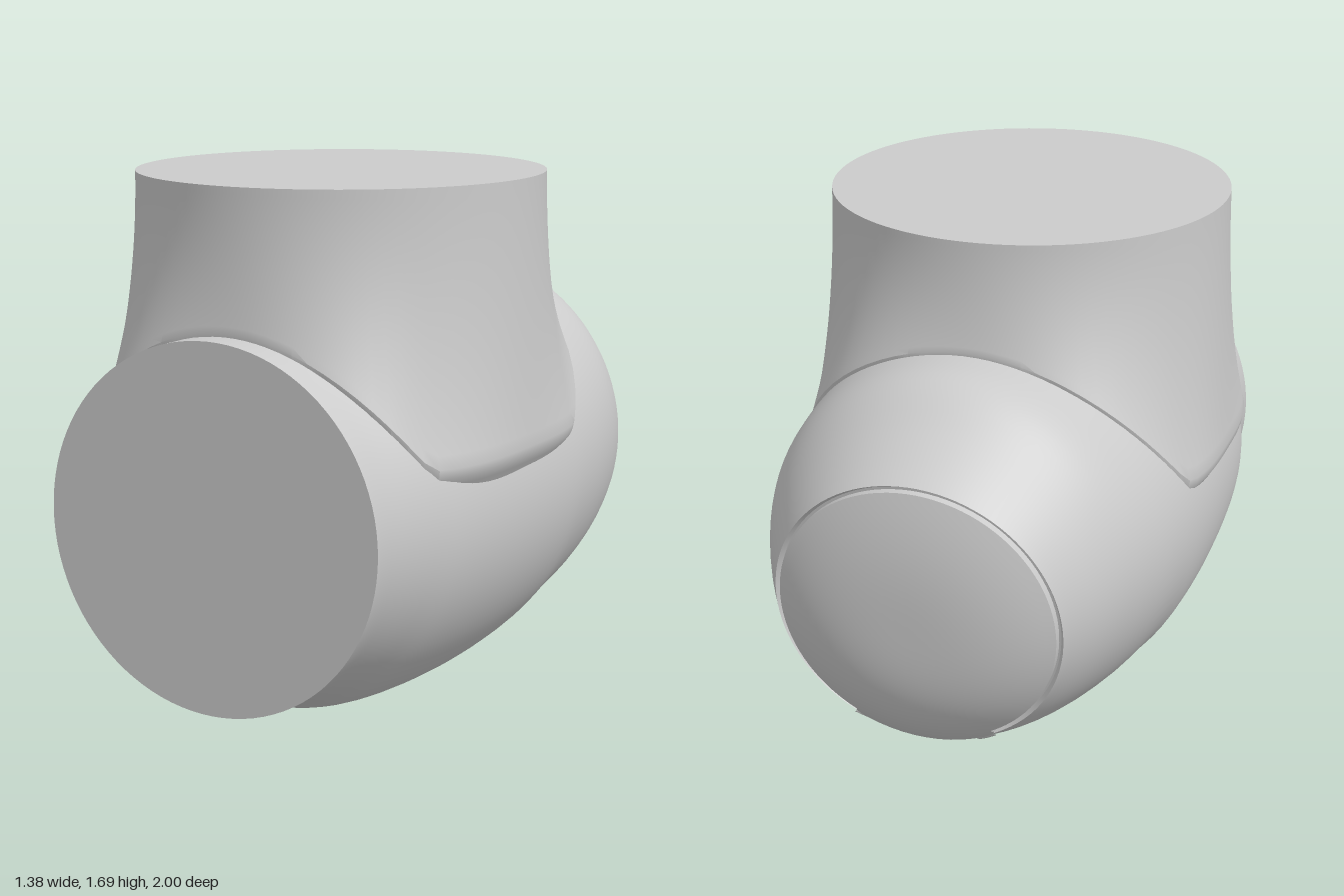
import * as THREE from 'three';
import { toCreasedNormals } from 'three/addons/utils/BufferGeometryUtils.js';

const V = (x, y, z) => new THREE.Vector3(x, y, z);
const SEG = 96;

// Skin a list of cross-sections; closed sections wrap around
function loft(rings, closed = true, crease = 0.5) {
  const n = rings[0].length, index = [];
  for (let i = 0; i < rings.length - 1; i++) {
    for (let j = 0; j < (closed ? n : n - 1); j++) {
      const k = (j + 1) % n;
      const a = i * n + j, b = i * n + k, c = a + n, d = b + n;
      index.push(a, b, c, b, d, c);
    }
  }
  const g = new THREE.BufferGeometry().setFromPoints(rings.flat());
  g.setIndex(index);
  return toCreasedNormals(g, crease);
}

const ring = (f) => Array.from({ length: SEG }, (_, j) => f((j / SEG) * Math.PI * 2));
const point = (p) => ring(() => p.clone());

// Body sections: z and y of the top, z and y of the bottom, half width
const sections = [
  [1, 1.25, 1, 0.105, 0.575],
  [0.88, 1.25, 0.9, 0.108, 0.58],
  [0.75, 1.27, 0.76, 0.075, 0.61],
  [0.62, 1.3, 0.62, 0.03, 0.645],
  [0.25, 1.33, 0.25, 0.0, 0.67],
  [-0.1, 1.335, -0.08, 0.02, 0.67],
  [-0.25, 1.335, -0.2, 0.05, 0.663],
  [-0.45, 1.335, -0.4, 0.08, 0.64],
  [-0.63, 1.32, -0.6, 0.12, 0.595],
  [-0.8, 1.215, -0.74, 0.165, 0.53],
  [-0.96, 1.11, -0.83, 0.205, 0.46],
];
const topLine = new THREE.CatmullRomCurve3(sections.map((s) => V(0, s[1], s[0])));
const bottomLine = new THREE.CatmullRomCurve3(sections.map((s) => V(s[4], s[3], s[2])));

// Point on the body: t runs front to back, angle starts at the top
function bodyPoint(t, angle, scale = 1) {
  const top = topLine.getPoint(t), low = bottomLine.getPoint(t);
  const width = low.x;
  low.x = 0;
  const mid = top.clone().add(low).multiplyScalar(0.5);
  const p = mid.clone().addScaledVector(top.sub(mid), Math.cos(angle) * scale);
  p.x = width * Math.sin(angle) * scale;
  return p;
}

// Point on the tilted rear dome, r from 0 (centre) to 1 (rim)
function domePoint(r, angle) {
  const h = 0.1 * (1 - r ** 3) * (1 - 0.4 * r * Math.cos(angle));
  return bodyPoint(1, angle, r).add(V(0, -0.142 * h, -0.99 * h));
}

// Main horizontal sleeve with flat front and a groove at the rear rim
function bodyGeometry() {
  const rings = [point(V(0, 0.6775, 1))];
  for (let i = 0; i <= 50; i++) rings.push(ring((a) => bodyPoint(i / 50, a)));
  rings.push(ring((a) => bodyPoint(1, a, 0.975).add(V(0, 0.002, 0.018))));
  rings.push(ring((a) => bodyPoint(1, a, 0.955).add(V(0, 0.002, 0.018))));
  return loft(rings);
}

function domeGeometry() {
  const rings = [ring((a) => bodyPoint(1, a, 0.96).add(V(0, 0, 0.03)))];
  for (let i = 0; i <= 16; i++) rings.push(ring((a) => domePoint(0.96 * (1 - i / 16), a)));
  return loft(rings);
}

// Underside tongue that runs forward from the dome
const tongueT = (s) => 0.56 + 0.44 * s;
function tongueAngle(s) {
  const tip = 1 - Math.min(1, s / 0.18);
  const w = 0.13 * Math.sqrt(1 - tip * tip) + 0.1 * (Math.max(0, s - 0.7) / 0.3) ** 2;
  return Math.asin(w / bottomLine.getPoint(tongueT(s)).x);
}
function tonguePoint(s, side, lift) {
  const p = bodyPoint(tongueT(s), Math.PI + side * tongueAngle(s));
  p.y -= lift;
  return p;
}
function tongueGeometry() {
  const rows = [], across = [...Array(13).keys()].map((j) => j / 6 - 1);
  for (let i = 0; i <= 40; i++) rows.push(across.map((u) => tonguePoint((i / 40) ** 1.5, u, 0.004)));
  rows.push(across.map((u) => domePoint(0.93, Math.PI + u * tongueAngle(1))));
  return loft(rows, false, 0.8);
}
function tongueSeamGeometry() {
  const path = [];
  for (let i = -30; i <= 30; i++) path.push(tonguePoint((Math.abs(i) / 30) ** 1.5, Math.sign(i), 0));
  return new THREE.TubeGeometry(new THREE.CatmullRomCurve3(path), 120, 0.008, 6);
}

// Upright collar: its lower edge drapes over the sleeve, its top is round
const collarZ = 0.225, collarTop = 1.69;
function collarPoint(a, s, inset = 1, drop = 0) {
  const sx = Math.sin(a), cz = Math.cos(a);
  const skirt = ((Math.abs(sx) / 0.69) ** 3 + (Math.abs(cz) / 0.685) ** 3) ** (-1 / 3);
  const x = skirt * sx, z = collarZ + skirt * cz;
  const R = 0.67 - 0.085 * Math.max(0, (z - 0.2) / 0.7) ** 1.5;
  const surface = 0.67 + Math.sqrt(Math.max(0, R * R - x * x));
  const edge = Math.hypot(Math.max(surface, 0.8) - 0.8, 0.07) + 0.8 - drop;
  const r = (0.648 + (skirt - 0.648) * (1 - s) ** 2) * inset;
  return V(r * sx, edge + (collarTop - edge) * s, collarZ + r * cz);
}
function collarGeometry() {
  const rings = [
    ring((a) => collarPoint(a, 0, 0.93, 0.1)),
    ring((a) => collarPoint(a, 0, 0.968, 0.055)),
    ring((a) => collarPoint(a, 0, 0.992, 0.03)),
  ];
  for (let i = 0; i <= 20; i++) rings.push(ring((a) => collarPoint(a, i / 20)));
  rings.push(point(V(0, collarTop, collarZ)));
  return loft(rings);
}

export function createModel() {
  const group = new THREE.Group();
  const material = new THREE.MeshStandardMaterial({ color: 0xcccccc });
  const parts = {
    sleeve: bodyGeometry(),
    rearDome: domeGeometry(),
    undersideTongue: tongueGeometry(),
    tongueSeam: tongueSeamGeometry(),
    collar: collarGeometry(),
  };
  for (const [name, geometry] of Object.entries(parts)) {
    const mesh = new THREE.Mesh(geometry, material);
    mesh.name = name;
    group.add(mesh);
  }
  return group;
}
